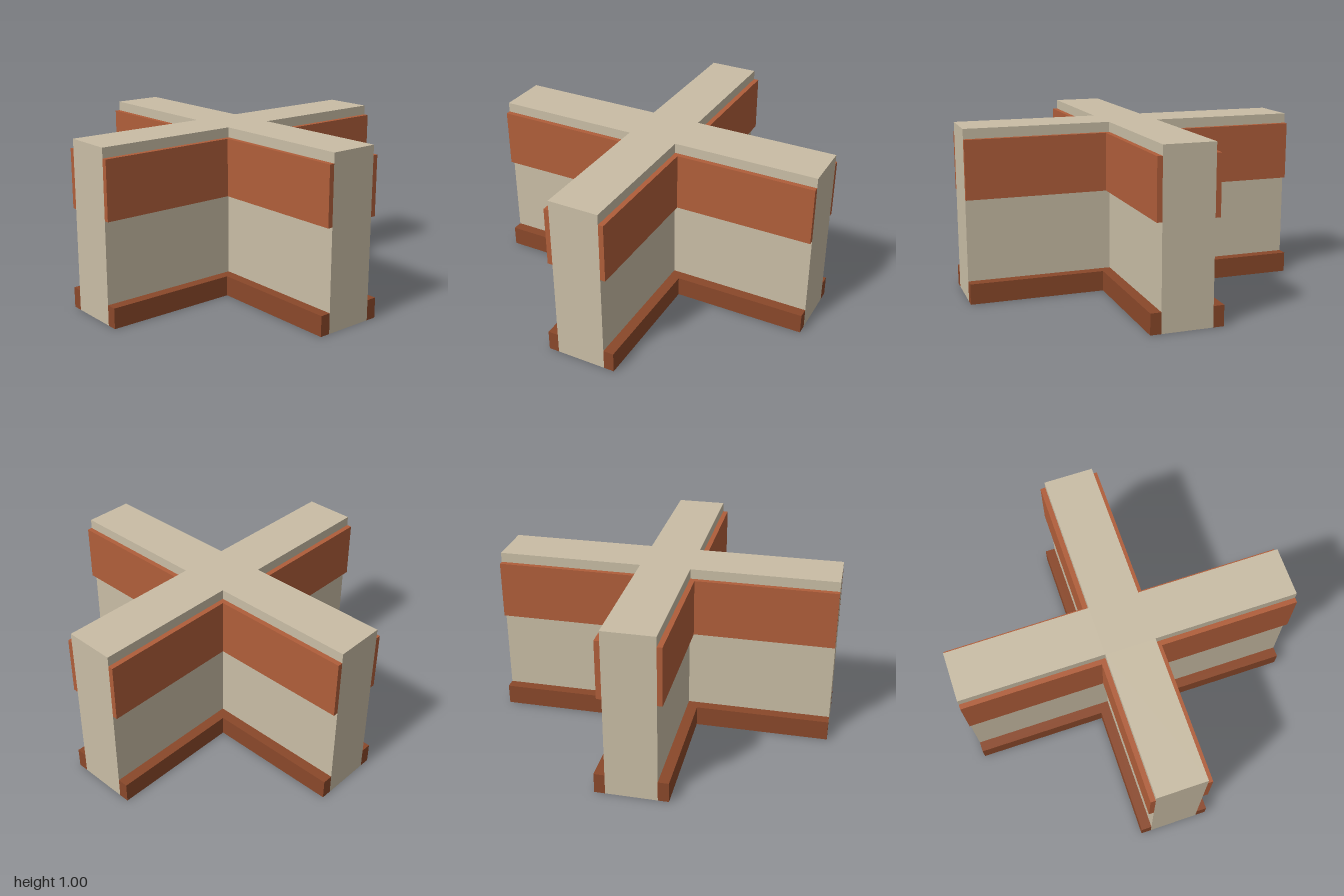
import * as THREE from 'three';

const HALF = 0.148; // half thickness of the walls

// Extrude a floor-plan outline upwards from y0 to y1
function prism(points, y0, y1) {
  const shape = new THREE.Shape(points.map(([x, y]) => new THREE.Vector2(x, y)));
  const geo = new THREE.ExtrudeGeometry(shape, { depth: y1 - y0, bevelEnabled: false });
  geo.rotateX(-Math.PI / 2);
  geo.translate(0, y0, 0);
  return geo;
}

// L-shaped strip lining one inner corner of the crossing
function cornerStrip(outer, y0, y1) {
  return prism([[HALF, HALF], [1, HALF], [1, outer], [outer, outer], [outer, 1], [HALF, 1]], y0, y1);
}

export function createModel() {
  const plaster = new THREE.MeshStandardMaterial({ name: 'plaster', color: 0xc9bda5 });
  const terracotta = new THREE.MeshStandardMaterial({ name: 'terracotta', color: 0xb05e3a });
  const darkBrick = new THREE.MeshStandardMaterial({ name: 'darkBrick', color: 0x8a482a });

  const model = new THREE.Group();
  model.name = 'wallCrossing';
  const add = (name, geo, mat, turn = 0) => {
    const mesh = new THREE.Mesh(geo, mat);
    mesh.name = name;
    mesh.rotation.y = turn;
    model.add(mesh);
  };

  // Plus-shaped wall core
  const plan = [];
  for (let k = 0; k < 4; k++) {
    const c = [1, 0, -1, 0][k], s = [0, 1, 0, -1][k];
    for (const [x, y] of [[1, -HALF], [1, HALF], [HALF, HALF]]) plan.push([x * c - y * s, x * s + y * c]);
  }
  add('wallCore', prism(plan, 0, 1), plaster);

  // Skirting and upper band in each of the four corners
  const skirting = cornerStrip(0.21, 0, 0.12);
  const band = cornerStrip(0.178, 0.6, 0.942);
  for (let k = 0; k < 4; k++) {
    add('skirting', skirting, darkBrick, k * Math.PI / 2);
    add('upperBand', band, terracotta, k * Math.PI / 2);
  }
  return model;
}
